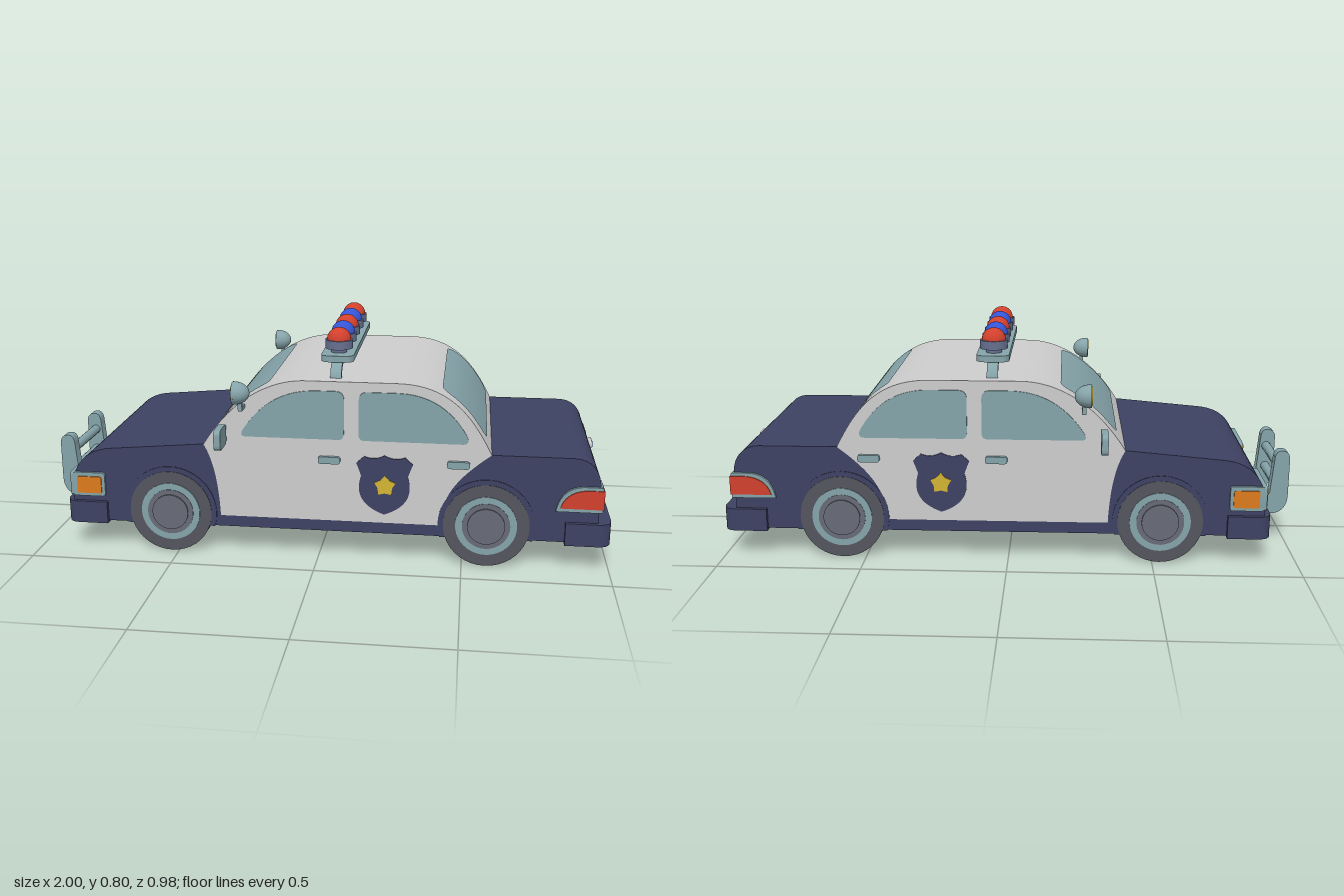
import * as THREE from 'three';
import { toCreasedNormals } from 'three/addons/utils/BufferGeometryUtils.js';

const mat = (name, color) => {
  const m = new THREE.MeshStandardMaterial({ color });
  m.name = name;
  return m;
};

export function createModel() {
  const car = new THREE.Group();
  car.name = 'patrolCar';
  const navy = mat('navy paint', 0x3e4263), white = mat('white paint', 0xcdcdcd);
  const teal = mat('teal glass and trim', 0x85a4aa), tyre = mat('tyre grey', 0x54565e);
  const hub = mat('hub grey', 0x676a76), red = mat('red lens', 0xd2402c);
  const blue = mat('blue lens', 0x3555d6), orange = mat('orange lens', 0xdb7a1c);
  const yellow = mat('yellow', 0xd2b432), slate = mat('lamp base slate', 0x66708f);

  const add = (name, geo, m, x = 0, y = 0, z = 0) => {
    const mesh = new THREE.Mesh(geo, m);
    mesh.name = name;
    mesh.position.set(x, y, z);
    car.add(mesh);
    return mesh;
  };
  const extrude = (shape, depth) => toCreasedNormals(
    new THREE.ExtrudeGeometry(shape, { depth, bevelEnabled: false, curveSegments: 16 }), 0.5);
  // Side-profile shape (x, y) extruded between two z values
  const side = (name, shape, m, z0, z1) => add(name, extrude(shape, z1 - z0), m, 0, 0, z0);
  // The same plate on both flanks
  const flanks = (name, shape, m, z0, z1) => {
    side(name + 'Near', shape, m, z0, z1);
    side(name + 'Far', shape, m, -z1, -z0);
  };
  // Cross-section shape (z, y) extruded between two x values
  const across = (name, shape, m, x0, x1) =>
    add(name, extrude(shape, x1 - x0).rotateY(-Math.PI / 2), m, x1, 0, 0);
  const poly = (pts) => new THREE.Shape(pts.map(([x, y]) => new THREE.Vector2(x, y)));
  const round = (x0, y0, x1, y1, r) => {
    const s = new THREE.Shape();
    s.moveTo(x0 + r, y0).lineTo(x1 - r, y0).quadraticCurveTo(x1, y0, x1, y0 + r);
    s.lineTo(x1, y1 - r).quadraticCurveTo(x1, y1, x1 - r, y1);
    s.lineTo(x0 + r, y1).quadraticCurveTo(x0, y1, x0, y1 - r);
    s.lineTo(x0, y0 + r).quadraticCurveTo(x0, y0, x0 + r, y0);
    return s;
  };

  // Lower body with bonnet and boot
  const body = new THREE.Shape();
  body.moveTo(-0.88, 0.1).lineTo(0.955, 0.1).lineTo(0.955, 0.31);
  body.bezierCurveTo(0.95, 0.36, 0.92, 0.4, 0.86, 0.4).lineTo(-0.4, 0.4).lineTo(-0.74, 0.37);
  body.bezierCurveTo(-0.82, 0.36, -0.86, 0.32, -0.88, 0.25).lineTo(-0.88, 0.1);
  side('lowerBody', body, navy, -0.38, 0.38);

  // Cabin and door panels
  const v = (x, y) => new THREE.Vector2(x, y);
  const front = new THREE.CubicBezierCurve(v(-0.4, 0.4), v(-0.3, 0.56), v(-0.17, 0.638), v(-0.04, 0.638));
  const back = new THREE.CubicBezierCurve(v(0.27, 0.638), v(0.44, 0.638), v(0.52, 0.54), v(0.59, 0.4));
  const cabin = new THREE.Shape();
  cabin.moveTo(-0.345, 0.14).lineTo(0.43, 0.14);
  cabin.bezierCurveTo(0.42, 0.24, 0.47, 0.31, 0.59, 0.4);
  [...back.getPoints(24).reverse(), ...front.getPoints(24).reverse()].forEach((p) => cabin.lineTo(p.x, p.y));
  cabin.bezierCurveTo(-0.37, 0.35, -0.35, 0.27, -0.345, 0.14);
  side('cabin', cabin, white, -0.382, 0.382);

  // Windscreen and rear window follow the roof curve
  const screen = (name, curve, x0, x1) => {
    const pts = curve.getPoints(200).filter((p) => p.x >= x0 && p.x <= x1);
    const len = [0];
    for (let i = 1; i < pts.length; i++) len.push(len[i - 1] + pts[i].distanceTo(pts[i - 1]));
    const pos = [], idx = [], r = 0.045, total = len[len.length - 1];
    pts.forEach((p, i) => {
      const d = Math.min(len[i], total - len[i], r);
      const w = 0.335 - r + Math.sqrt(r * r - (r - d) ** 2);
      const t = pts[Math.min(i + 1, pts.length - 1)].clone().sub(pts[Math.max(i - 1, 0)]).normalize();
      const x = p.x - t.y * 0.004, y = p.y + t.x * 0.004;
      pos.push(x, y, w, x, y, -w);
      if (i) {
        const a = 2 * i - 2;
        idx.push(a, a + 2, a + 1, a + 1, a + 2, a + 3);
      }
    });
    const g = new THREE.BufferGeometry();
    g.setAttribute('position', new THREE.Float32BufferAttribute(pos, 3));
    g.setIndex(idx);
    g.computeVertexNormals();
    add(name, g, teal);
  };
  screen('windscreen', front, -0.37, -0.175);
  screen('rearWindow', back, 0.415, 0.57);

  // Side windows
  const w1 = new THREE.Shape();
  w1.moveTo(-0.25, 0.435).lineTo(0.07, 0.435).quadraticCurveTo(0.09, 0.435, 0.09, 0.46);
  w1.lineTo(0.09, 0.575).quadraticCurveTo(0.09, 0.605, 0.06, 0.605).lineTo(0, 0.605);
  w1.bezierCurveTo(-0.12, 0.605, -0.2, 0.55, -0.262, 0.455).quadraticCurveTo(-0.27, 0.435, -0.25, 0.435);
  flanks('frontSideWindow', w1, teal, 0.38, 0.386);
  const w2 = new THREE.Shape();
  w2.moveTo(0.16, 0.435).lineTo(0.49, 0.435).quadraticCurveTo(0.52, 0.435, 0.505, 0.465);
  w2.bezierCurveTo(0.45, 0.56, 0.37, 0.605, 0.27, 0.605).lineTo(0.17, 0.605);
  w2.quadraticCurveTo(0.14, 0.605, 0.14, 0.575).lineTo(0.14, 0.46).quadraticCurveTo(0.14, 0.435, 0.16, 0.435);
  flanks('rearSideWindow', w2, teal, 0.38, 0.386);

  // Door handles
  for (const x of [0.04, 0.48]) flanks('doorHandle', round(x - 0.038, 0.35, x + 0.038, 0.375, 0.01), teal, 0.378, 0.395);

  // Door shields with a gold star
  const shield = new THREE.Shape();
  shield.moveTo(0.23, 0.172).bezierCurveTo(0.31, 0.2, 0.33, 0.25, 0.31, 0.31);
  shield.quadraticCurveTo(0.32, 0.34, 0.327, 0.355).lineTo(0.3, 0.38).quadraticCurveTo(0.265, 0.365, 0.23, 0.385);
  shield.quadraticCurveTo(0.195, 0.365, 0.16, 0.38).lineTo(0.133, 0.355).quadraticCurveTo(0.14, 0.34, 0.15, 0.31);
  shield.bezierCurveTo(0.13, 0.25, 0.15, 0.2, 0.23, 0.172);
  flanks('doorShield', shield, navy, 0.38, 0.386);
  const star = poly([...Array(10).keys()].map((i) => {
    const r = i % 2 ? 0.026 : 0.038, a = Math.PI / 2 + i * Math.PI / 5;
    return [0.232 + r * Math.cos(a), 0.276 + r * Math.sin(a)];
  }));
  flanks('shieldStar', star, yellow, 0.382, 0.389);

  // Bumpers with rounded outer corners
  const bumper = (name, xi, xo) => {
    const k = Math.sign(xo) * 0.05, s = new THREE.Shape();
    s.moveTo(xi, -0.395).lineTo(xo - k, -0.395).quadraticCurveTo(xo, -0.395, xo, -0.345);
    s.lineTo(xo, 0.345).quadraticCurveTo(xo, 0.395, xo - k, 0.395).lineTo(xi, 0.395);
    add(name, extrude(s, 0.08).rotateX(-Math.PI / 2), navy, 0, 0.093, 0);
  };
  bumper('frontBumper', -0.755, -0.905);
  bumper('rearBumper', 0.845, 1.0);

  // Wheels and arch lips
  const disc = (name, m, r, z0, z1, x, s) =>
    add(name, new THREE.CylinderGeometry(r, r, z1 - z0, 40).rotateX(Math.PI / 2), m, x, 0.147, s * (z0 + z1) / 2);
  for (const x of [-0.525, 0.58]) {
    const lip = new THREE.Shape();
    lip.absarc(x, 0.147, 0.165, -0.3, Math.PI + 0.3, false);
    flanks('wheelArch', lip, navy, 0.37, 0.383);
    for (const s of [1, -1]) {
      disc('tyre', tyre, 0.147, 0.28, 0.385, x, s);
      disc('wheelRim', teal, 0.105, 0.37, 0.388, x, s);
      disc('wheelDish', hub, 0.082, 0.37, 0.39, x, s);
      disc('hubCap', hub, 0.064, 0.37, 0.396, x, s);
    }
  }

  for (const s of [1, -1]) {
    // Tail lamps on the rear face
    const tail = (z, zTop, z1, y0, y1) => {
      const t = new THREE.Shape();
      t.moveTo(s * z, y0).lineTo(s * z1, y0).quadraticCurveTo(s * (z1 + 0.01), y1, s * zTop, y1).lineTo(s * z, y1);
      return t;
    };
    across('tailLampFrame', tail(0.39, 0.31, 0.235, 0.213, 0.3), teal, 0.94, 0.965);
    across('tailLamp', tail(0.392, 0.315, 0.25, 0.226, 0.291), red, 0.95, 0.969);
    // Headlamps on the nose
    const h = (a, b) => [Math.min(s * a, s * b), Math.max(s * a, s * b)];
    const [a0, a1] = h(0.16, 0.39), [b0, b1] = h(0.175, 0.375);
    across('headlampFrame', round(a0, 0.193, a1, 0.28, 0.012), teal, -0.885, -0.84);
    across('headlamp', round(b0, 0.205, b1, 0.268, 0.008), yellow, -0.89, -0.87);

    // Bull bar upright with foot
    const up = new THREE.Shape();
    up.moveTo(-0.89, 0.108).lineTo(-0.95, 0.11).quadraticCurveTo(-1.0, 0.12, -1.0, 0.18).lineTo(-1.0, 0.32);
    up.quadraticCurveTo(-0.995, 0.345, -0.97, 0.345).quadraticCurveTo(-0.948, 0.345, -0.946, 0.31);
    up.lineTo(-0.935, 0.19).quadraticCurveTo(-0.93, 0.175, -0.89, 0.172);
    side('bullBarUpright', up, teal, s * 0.148 - 0.021, s * 0.148 + 0.021);

    // Wing mirror
    const [m0, m1] = h(0.395, 0.49), [n0, n1] = h(0.37, 0.4);
    across('wingMirror', round(m0, 0.41, m1, 0.482, 0.02), teal, -0.338, -0.315);
    across('mirrorArm', round(n0, 0.435, n1, 0.46, 0.005), teal, -0.335, -0.318);

    // Spot lamp: domed shell, flat lens facing forward, bent stalk
    add('spotLampShell', new THREE.SphereGeometry(0.039, 28, 12, 0, Math.PI * 2, 0, Math.PI / 2)
      .scale(1, 1.3, 1).rotateZ(-Math.PI / 2), teal, -0.275, 0.6, s * 0.428);
    add('spotLampRim', new THREE.CylinderGeometry(0.039, 0.039, 0.008, 28).rotateZ(Math.PI / 2), teal, -0.277, 0.6, s * 0.428);
    add('spotLampLens', new THREE.CylinderGeometry(0.032, 0.032, 0.006, 28).rotateZ(Math.PI / 2), yellow, -0.281, 0.6, s * 0.428);
    add('spotLampStalk', new THREE.BoxGeometry(0.014, 0.04, 0.012), teal, -0.257, 0.557, s * 0.427);
    add('spotLampArm', new THREE.BoxGeometry(0.014, 0.013, 0.065), teal, -0.257, 0.543, s * 0.4);
  }
  for (const y of [0.2, 0.28])
    add('bullBarRail', new THREE.CylinderGeometry(0.017, 0.017, 0.29, 16).rotateX(Math.PI / 2), teal, -0.968, y, 0);

  // Lamp returns on the flanks
  const tailSide = (x0, y0, x1, y1) => {
    const t = new THREE.Shape();
    t.moveTo(x0, y0).lineTo(x1, y0).lineTo(x1, y1).lineTo(x0 + 0.09, y1);
    t.quadraticCurveTo(x0 + 0.015, y1 - 0.005, x0, y0);
    return t;
  };
  flanks('tailLampSideFrame', tailSide(0.81, 0.213, 0.962, 0.303), teal, 0.375, 0.39);
  flanks('tailLampSide', tailSide(0.825, 0.226, 0.968, 0.292), red, 0.38, 0.394);
  flanks('markerFrame', round(-0.878, 0.193, -0.76, 0.28, 0.012), teal, 0.375, 0.39);
  flanks('markerLamp', round(-0.86, 0.205, -0.772, 0.266, 0.008), orange, 0.38, 0.394);

  // Rear plate and boot badge
  across('numberPlate', round(-0.102, 0.21, 0.102, 0.288, 0.015), white, 0.95, 0.962);
  across('bootBadgeRim', round(-0.032, 0.328, 0.032, 0.352, 0.011), white, 0.93, 0.957);
  across('bootBadge', round(-0.028, 0.331, 0.028, 0.349, 0.009), blue, 0.94, 0.959);

  // Roof light bar: arched strap, deck and five beacons
  const strap = new THREE.Shape();
  strap.moveTo(-0.337, 0.63).quadraticCurveTo(-0.325, 0.69, -0.265, 0.69).lineTo(0.265, 0.69);
  strap.quadraticCurveTo(0.325, 0.69, 0.337, 0.63).lineTo(0.322, 0.63).quadraticCurveTo(0.312, 0.676, 0.262, 0.676);
  strap.lineTo(-0.262, 0.676).quadraticCurveTo(-0.312, 0.676, -0.322, 0.63);
  across('lightBarStrap', strap, teal, 0.037, 0.075);
  add('lightBarDeck', extrude(round(0, -0.315, 0.113, 0.315, 0.035), 0.022).rotateX(-Math.PI / 2), teal, 0, 0.688, 0);
  [red, blue, red, blue, red].forEach((lens, i) => {
    const z = 0.24 - i * 0.12, x = 0.056;
    add('beaconNeck', new THREE.CylinderGeometry(0.028, 0.028, 0.02, 24), slate, x, 0.717, z);
    add('beaconBase', new THREE.CylinderGeometry(0.048, 0.048, 0.03, 28), slate, x, 0.739, z);
    add('beaconDome', new THREE.SphereGeometry(0.042, 28, 12, 0, Math.PI * 2, 0, Math.PI / 2), lens, x, 0.753, z);
  });
  return car;
}
